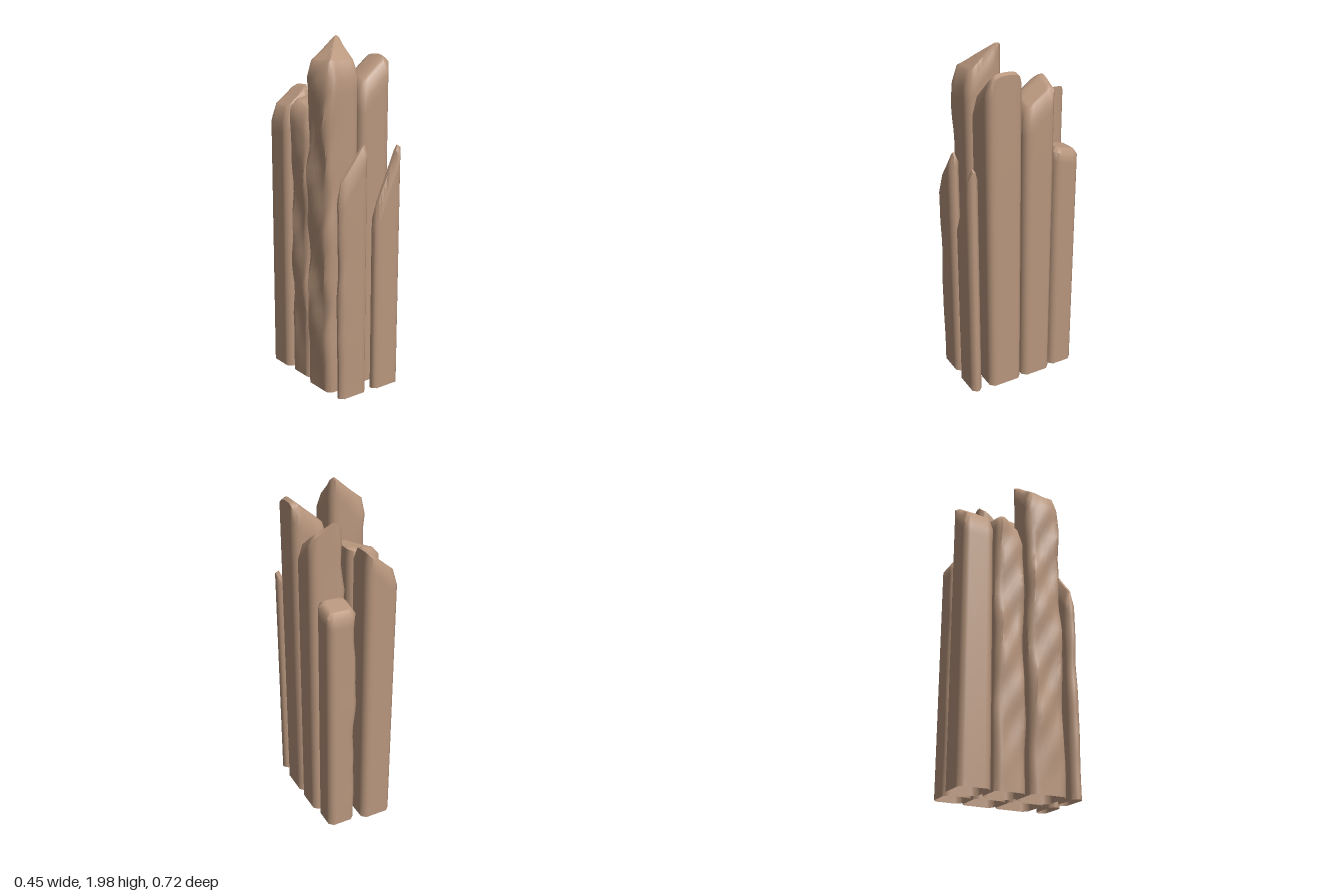
import * as THREE from 'three';
import { toCreasedNormals } from 'three/addons/utils/BufferGeometryUtils.js';

const LEVELS = 26;   // rings up the side
const EDGE = 6;      // segments along each straight edge

// Rectangle with cut corners, walked from +x towards +z; unit directions kept for roughness.
function outline(hx, hz, cx, cz) {
  const corners = [
    [hx, -hz + cz], [hx, hz - cz], [hx - cx, hz], [-hx + cx, hz],
    [-hx, hz - cz], [-hx, -hz + cz], [-hx + cx, -hz], [hx - cx, -hz],
  ];
  const pts = [];
  corners.forEach((a, i) => {
    const b = corners[(i + 1) % 8];
    const n = i % 2 === 0 ? EDGE : 2;
    for (let k = 0; k < n; k++) {
      const t = k / n;
      pts.push([a[0] + (b[0] - a[0]) * t, a[1] + (b[1] - a[1]) * t]);
    }
  });
  return pts;
}

// Hollow post with an open foot, a bevelled slanted top and worn left edges.
function post({ x, z, top, drop = [0.07, 0.012], rough = 0, seed = 0 }) {
  const cx = (x[0] + x[1]) / 2, cz = (z[0] + z[1]) / 2;
  const hx = (x[1] - x[0]) / 2, hz = (z[1] - z[0]) / 2;
  const inset = Math.min(0.022, hz * 0.7);
  const chamfer = Math.min(0.024, hz * 0.75);
  const height = (px, pz) => top((px / hx + 1) / 2, (pz / hz + 1) / 2);

  const outer = outline(hx, hz, chamfer, chamfer);
  const inner = outline(hx - inset, hz - inset, chamfer * 0.6, Math.min(chamfer, hz - inset) * 0.6);
  const heights = outer.map(([px, pz]) => height(px, pz));
  const low = Math.min(...heights), high = Math.max(...heights);

  // Wear grows towards the -x side and fades out at the foot
  const wear = (px, pz, y) => {
    const w = rough * Math.pow((1 - px / hx) / 2, 3) * Math.min(1, y * 2.2);
    const a = Math.sin(y * 9 + pz * 22 + seed) + 0.6 * Math.sin(y * 21 - pz * 38 + seed * 2);
    const b = Math.sin(y * 8 + px * 25 + seed * 3) + 0.4 * Math.sin(y * 17 + seed);
    return [-w * (0.35 + 0.6 * a), w * 0.55 * b * (pz / hz)];
  };

  const position = [], index = [];
  const add = (px, y, pz) => {
    const [dx, dz] = wear(px, pz, y);
    position.push(cx + px + dx, y, cz + pz + dz);
  };
  // side rings
  for (let j = 0; j <= LEVELS; j++) {
    outer.forEach(([px, pz], i) => {
      const t = (heights[i] - low) / Math.max(high - low, 0.001);
      const rim = heights[i] - (drop[0] + (drop[1] - drop[0]) * t);
      add(px, rim * j / LEVELS, pz);
    });
  }
  // cap rings shrinking to the middle
  const caps = [1, 0.8, 0.6, 0.4, 0.2, 0];
  for (const s of caps) {
    inner.forEach(([px, pz]) => add(px * s, height(px * s, pz * s), pz * s));
  }

  const n = outer.length, rings = LEVELS + caps.length;
  for (let j = 0; j < rings; j++) {
    for (let i = 0; i < n; i++) {
      const a = j * n + i, b = j * n + (i + 1) % n;
      index.push(a, a + n, b);
      if (j < rings - 1) index.push(b, a + n, b + n);
    }
  }
  const geometry = new THREE.BufferGeometry();
  geometry.setAttribute('position', new THREE.Float32BufferAttribute(position, 3));
  geometry.setIndex(index);
  return toCreasedNormals(geometry, 0.95);
}

export function createModel() {
  const group = new THREE.Group();
  group.name = 'postCluster';
  const wood = new THREE.MeshStandardMaterial({ color: 0xb8967d, side: THREE.DoubleSide });

  // top(u, v): u runs from -x to +x, v from back to front
  const posts = {
    backRightPost: {
      x: [-0.187, 0], z: [-0.36, -0.18],
      top: (u, v) => Math.min(1.71 - 0.15 * (1 - u), 1.71 - 0.25 * (v - 0.65), 1.71),
    },
    backLeftPost: {
      x: [0.043, 0.205], z: [-0.332, -0.175], rough: 0.009, seed: 1,
      top: (u, v) => 1.385 + 0.035 * v, drop: [0.03, 0.025],
    },
    middleRightPost: {
      x: [-0.18, -0.002], z: [-0.155, 0.022], rough: 0.013, seed: 2,
      top: (u, v) => 1.66 - 0.04 * (1 - u) - 0.12 * Math.max(0, v - u - 0.2),
    },
    middleLeftPost: {
      x: [0.035, 0.222], z: [-0.16, 0.025], rough: 0.014, seed: 3.5,
      top: (u, v) => 1.82 - 0.13 * v - 0.08 * Math.max(0, u - 0.3) - 0.05 * Math.max(0, 0.2 - u),
    },
    frontRightPost: {
      x: [-0.207, 0], z: [0.042, 0.25], rough: 0.016, seed: 5,
      top: (u, v) => 2 - 0.18 * Math.max(1 - u, v),
    },
    frontLeftPost: {
      x: [0.018, 0.222], z: [0.04, 0.245],
      top: (u, v) => 1.895 - 0.17 * (1 - u) - 0.3 * Math.pow(Math.abs(v - 0.45), 3),
      drop: [0.07, 0.03],
    },
    rightPlank: {
      x: [-0.2, -0.016], z: [0.296, 0.353], rough: 0.007, seed: 4,
      top: (u) => 1.2 + 0.24 * u, drop: [0.1, 0.05],
    },
    leftPlank: {
      x: [0.03, 0.217], z: [0.3, 0.36],
      top: (u) => 1.02 + 0.42 * u, drop: [0.08, 0.06],
    },
  };

  for (const [name, spec] of Object.entries(posts)) {
    const mesh = new THREE.Mesh(post(spec), wood);
    mesh.name = name;
    group.add(mesh);
  }
  return group;
}
